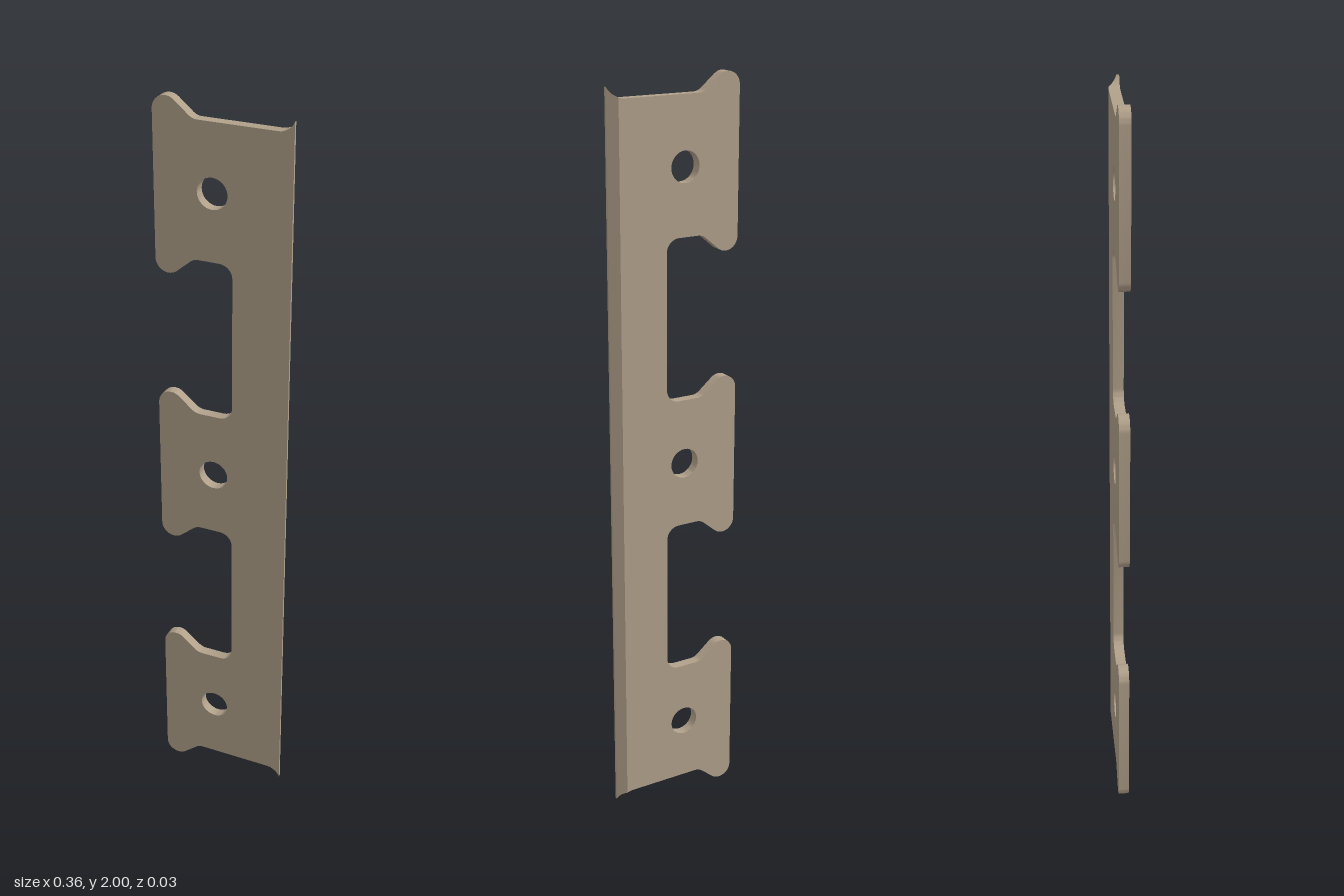
import * as THREE from 'three';
import { mergeGeometries, toCreasedNormals } from 'three/addons/utils/BufferGeometryUtils.js';

const HALF = 0.014;                       // half the plate thickness
const BEVEL_X = 0.157, EDGE_X = 0.18;     // start of the back bevel, sharp edge
const TABS = [0.2223, 1, 1.7777];         // tab centre heights
const FLAT = 0.175;                       // tab centre to its flat edge

const rad = THREE.MathUtils.degToRad;
function arc(cx, cy, r, from, to, n = 8) {
  return Array.from({ length: n + 1 }, (_, i) => {
    const a = rad(from + (to - from) * i / n);
    return new THREE.Vector2(cx + r * Math.cos(a), cy + r * Math.sin(a));
  });
}

// Upper edge of a tab, from the left side inwards, relative to the tab centre
const hook = [
  ...arc(-0.145, 0.1873, 0.035, 180, 50, 12),
  ...arc(-0.0632, FLAT + 0.035, 0.035, 230, 270),
];
const slotCorner = arc(-0.008, FLAT + 0.035, 0.035, 270, 360);
// Flared end of the plate between two x positions
const flare = (x0, x1, n) => Array.from({ length: n + 1 }, (_, i) => {
  const x = x0 + (x1 - x0) * i / n, d = x - 0.14, r = 0.043;
  return new THREE.Vector2(x, FLAT + r - Math.sqrt(r * r - d * d));
});

// Place an edge on a tab; the lower edge is mirrored and runs back to the left
const upper = (pts, c) => pts.map(p => new THREE.Vector2(p.x, c + p.y));
const lower = (pts, c) => pts.map(p => new THREE.Vector2(p.x, c - p.y)).reverse();

// Extrude an outline and drop the hidden wall where body and bevel meet
function slab(points, holes = []) {
  const shape = new THREE.Shape(points);
  shape.holes.push(...holes);
  let geo = new THREE.ExtrudeGeometry(shape, { depth: 2 * HALF, bevelEnabled: false });
  geo.translate(0, 0, -HALF);
  if (geo.index) geo = geo.toNonIndexed();
  const p = geo.attributes.position, kept = [];
  for (let i = 0; i < p.count; i += 3) {
    if ([0, 1, 2].every(k => Math.abs(p.getX(i + k) - BEVEL_X) < 1e-5)) continue;
    for (let k = 0; k < 3; k++) kept.push(p.getX(i + k), p.getY(i + k), p.getZ(i + k));
  }
  const out = new THREE.BufferGeometry();
  out.setAttribute('position', new THREE.Float32BufferAttribute(kept, 3));
  return out;
}

export function createModel() {
  const group = new THREE.Group();
  group.name = 'slottedPlate';

  // Plate body with three hooked tabs and a round hole in each
  const inner = [...hook, ...slotCorner];
  const outer = [...hook, ...flare(0.14, BEVEL_X, 4)];
  const outline = [];
  TABS.forEach((c, i) => {
    outline.push(...lower(i === 0 ? outer : inner, c));
    outline.push(...upper(i === 2 ? outer : inner, c));
  });
  const holes = TABS.map(c => new THREE.Path(arc(-0.026, c, 0.04, 0, 360, 32).slice(0, -1)));
  const body = slab(outline, holes);

  // Long right edge, thinned from the back to a narrow lip
  const rim = flare(BEVEL_X, EDGE_X, 8);
  const edge = slab([...lower(rim, TABS[0]), ...upper(rim, TABS[2])]);
  const p = edge.attributes.position;
  for (let i = 0; i < p.count; i++) {
    if (p.getZ(i) < 0) {
      p.setZ(i, -HALF + 0.021 * (p.getX(i) - BEVEL_X) / (EDGE_X - BEVEL_X));
    }
  }

  const plate = new THREE.Mesh(
    toCreasedNormals(mergeGeometries([body, edge]), 0.5),
    new THREE.MeshStandardMaterial({ color: 0xb0a08a })
  );
  plate.name = 'plate';
  group.add(plate);
  return group;
}
